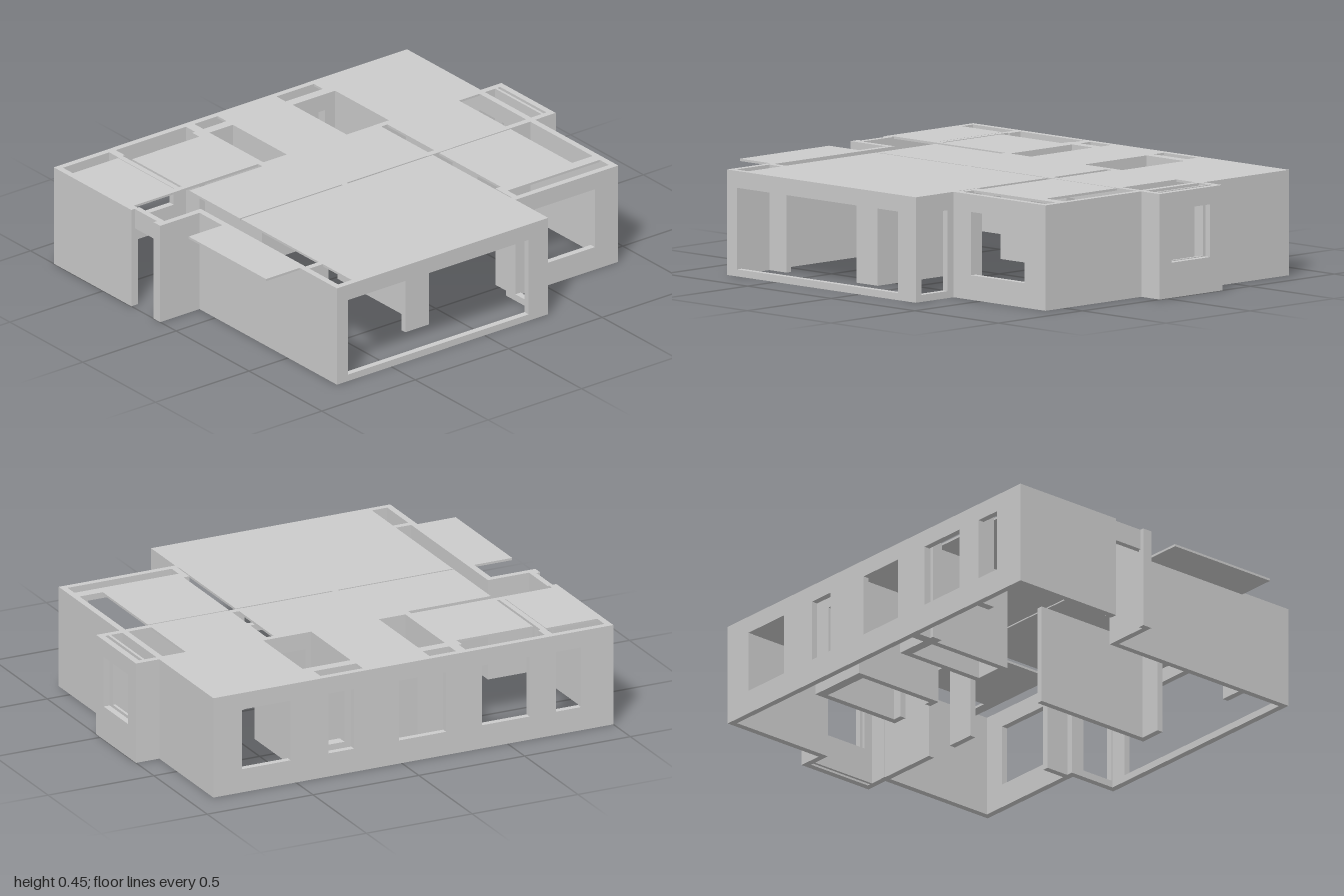
import * as THREE from 'three';

const H = 0.45, T = 0.028, SLAB = 0.01;
const WIN = [0.105, 0.375]; // usual sill and head heights

export function createModel() {
  const model = new THREE.Group();
  const mat = new THREE.MeshStandardMaterial({ color: 0xcccccc, flatShading: true });

  function add(name, geo) {
    const mesh = new THREE.Mesh(geo, mat);
    mesh.name = name;
    model.add(mesh);
  }

  // Upright panel from a to b; openings are [from, to, sill, head], sill 0 makes a doorway
  function panel(a, b, thick, openings) {
    const s = new THREE.Shape();
    s.moveTo(a, 0);
    for (const [p, q, sill, head] of openings) {
      if (sill === 0) {
        s.lineTo(p, 0); s.lineTo(p, head); s.lineTo(q, head); s.lineTo(q, 0);
      } else {
        const h = new THREE.Path();
        h.moveTo(p, sill); h.lineTo(p, head); h.lineTo(q, head); h.lineTo(q, sill); h.closePath();
        s.holes.push(h);
      }
    }
    s.lineTo(b, 0); s.lineTo(b, H); s.lineTo(a, H); s.closePath();
    return new THREE.ExtrudeGeometry(s, { depth: thick, bevelEnabled: false });
  }
  // Wall running along x, starting at depth z
  const wallX = (name, x0, x1, z, openings = [], t = T) =>
    add(name, panel(x0, x1, t, openings).translate(0, 0, z));
  // Wall running along z, starting at x
  const wallZ = (name, z0, z1, x, openings = [], t = T) =>
    add(name, panel(z0, z1, t, openings).rotateY(-Math.PI / 2).translate(x + t, 0, 0));
  // Block between two heights
  const block = (name, x0, x1, z0, z1, y0 = H - SLAB, y1 = H) =>
    add(name, new THREE.BoxGeometry(x1 - x0, y1 - y0, z1 - z0)
      .translate((x0 + x1) / 2, (y0 + y1) / 2, (z0 + z1) / 2));

  // Outer walls
  wallX('backWall', -1, 0.89, -0.84, [
    [-0.847, -0.73, ...WIN], [-0.605, -0.38, ...WIN], [-0.21, 0.012, ...WIN],
    [0.225, 0.345, ...WIN], [0.525, 0.755, ...WIN],
  ]);
  wallZ('backLeftWall', 0.61 - 1.45, 0.61, 0.862, [[-0.305, 0.01, 0, 0.375]]);
  wallZ('outerWallBesideEntry', -0.84, -0.307, -1);
  wallZ('outerWallBesideLiving', -0.137, 0.835, -0.79);
  wallX('frontLivingWall', -0.79, 0.34, 0.807, [[-0.73, 0.235, 0.03, 0.378]]);
  wallZ('livingSideWall', 0.58, 0.835, 0.312, [[0.645, 0.8, 0.03, 0.375]]);
  wallX('frontBedroomWall', 0.312, 0.89, 0.582, [[0.445, 0.765, ...WIN]]);

  // Bay with its window and inner frame
  wallZ('bayWindowWall', -0.333, 0.04, 0.972, [[-0.26, -0.03, 0.15, 0.375]]);
  wallZ('bayInnerFrame', -0.305, 0.012, 0.945, [[-0.26, -0.03, 0.15, 0.375]], 0.012);
  for (const z of [-0.333, 0.012]) wallX('bayEndWall', 0.862, 1, z);

  // Entrance
  wallX('entryWall', -1, -0.765, -0.137);
  wallX('entryReturn', -1, -0.965, -0.335);
  block('entryLintel', -0.982, -0.956, -0.31, -0.137, 0.36, H);
  block('entryJamb', -1, -0.972, -0.155, -0.137, 0, H);

  // Shafts and small rooms along the back
  for (const x of [-0.3, -0.147]) wallZ('smallRoomWall', -0.75, -0.307, x);
  wallX('smallRoomBack', -0.3, -0.12, -0.75, [], 0.045);
  wallX('smallRoomFront', -0.3, -0.12, -0.335);
  for (const x of [0.145, 0.4]) wallZ('washroomWall', -0.75, -0.307, x);
  wallX('washroomBack', 0.145, 0.428, -0.75, [[0.225, 0.345, ...WIN]], 0.045);
  wallX('washroomFront', 0.145, 0.428, -0.335, [[0.2, 0.36, 0, 0.375]]);
  block('backPillar', -0.725, -0.69, -0.815, -0.75, 0, H);
  block('backPillar', -0.315, -0.27, -0.815, -0.75, 0, H);
  block('backPillar', -0.33, -0.3, -0.75, -0.7, 0, H);

  // Inner walls and stubs
  wallZ('livingPartition', 0.015, 0.605, -0.147);
  wallX('livingPartitionReturn', -0.245, -0.12, 0.577);
  wallX('livingStub', -0.765, -0.66, 0.582);
  wallX('bedroomPartition', 0.312, 0.89, 0.014, [[0.445, 0.58, 0, 0.378]]);
  wallZ('bedroomStub', 0.47, 0.61, 0.342);

  // Thin ceiling slabs, each x0, x1, z0, z1
  const slabs = [
    ['entryRoom', -0.98, -0.73, -0.745, -0.335],
    ['passage', -0.727, -0.702, -0.75, -0.335],
    ['backRoom', -0.69, -0.29, -0.7, -0.335],
    ['backRoomEdge', -0.73, -0.68, -0.362, -0.335],
    ['backMiddle', -0.145, 0.17, -0.83, -0.328],
    ['backCorner', 0.4, 0.87, -0.83, -0.328],
    ['washroomEdge', 0.37, 0.41, -0.83, -0.705],
    ['hall', -0.69, 0.337, -0.307, 0.04],
    ['hallLink', -0.3, 0.87, -0.335, -0.307],
    ['bayRoom', 0.37, 0.752, -0.307, 0.04],
    ['living', -0.69, 0.337, 0.048, 0.83],
    ['bedroom', 0.37, 0.752, 0.048, 0.518],
    ['bedroomEdge', 0.752, 0.87, 0.47, 0.518],
    ['outsideCanopy', -0.97, -0.79, 0.048, 0.578],
  ];
  for (const [name, ...r] of slabs) block(name + 'Ceiling', ...r);

  return model;
}
